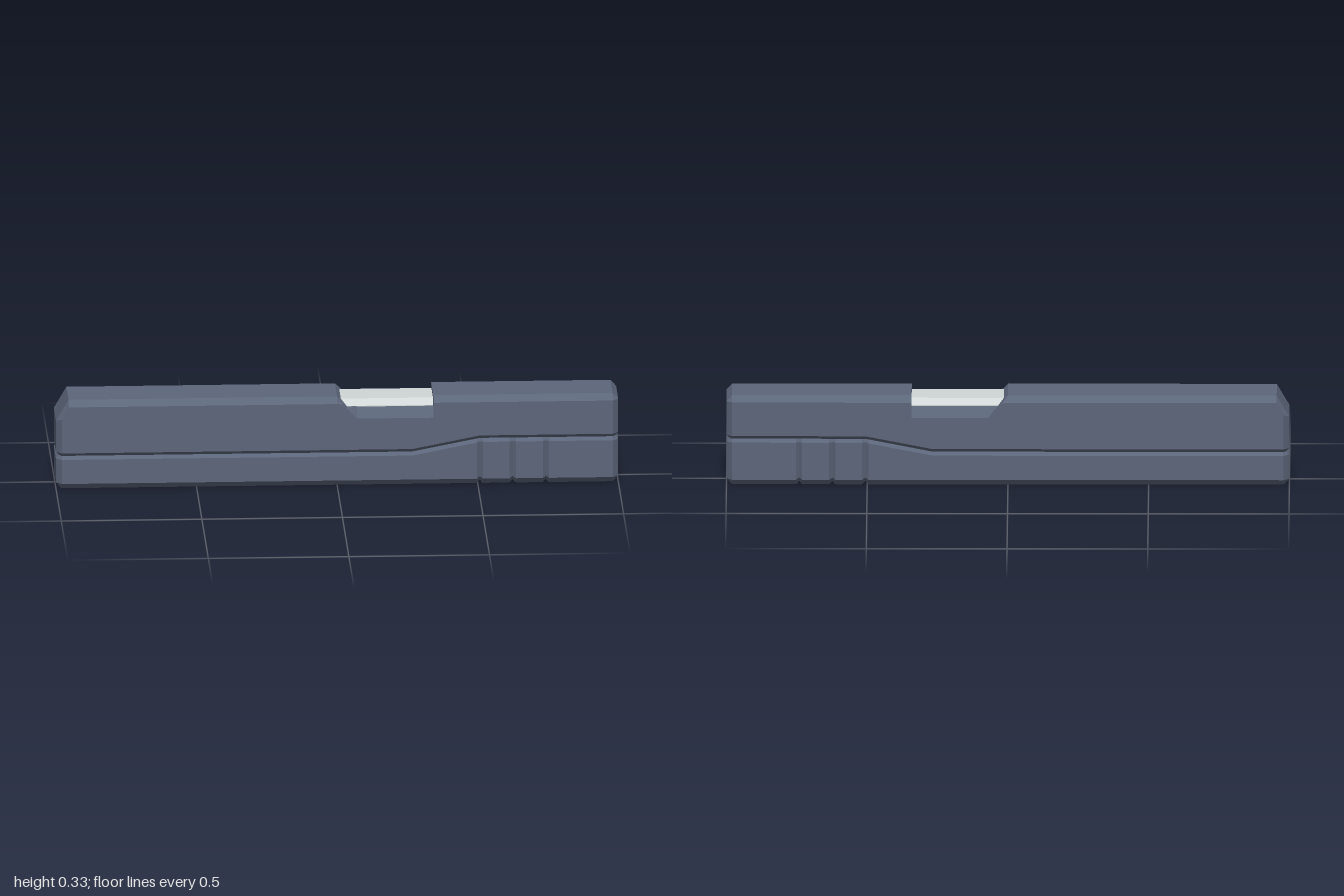
import * as THREE from 'three';

// Height of the V-groove that separates the two halves
const groove = (x) => 0.123 + 0.047 * THREE.MathUtils.clamp((x - 0.267) / 0.24, 0, 1);

// Symmetric eight-sided loft along x.
// Station: [x, bottomHalf, bottomY, sideHalf, sideLowY, sideHighY, topHalf, topY]
function loft(stations, material, name) {
  const rings = stations.map(([x, bw, yb, w, lo, hi, tw, yt]) => {
    const half = [[bw, yb], [w, lo], [w, hi], [tw, yt]];
    const other = half.map(([z, y]) => [-z, y]).reverse();
    return [...half, ...other].map(([z, y]) => [x, y, z]);
  });
  const pos = [];
  const tri = (...corners) => corners.forEach((c) => pos.push(...c));
  for (let i = 0; i < rings.length - 1; i++) {
    for (let k = 0; k < 8; k++) {
      const n = (k + 1) % 8;
      const a = rings[i][k], b = rings[i][n], c = rings[i + 1][n], d = rings[i + 1][k];
      tri(a, d, c);
      tri(a, c, b);
    }
  }
  const first = rings[0], last = rings[rings.length - 1];
  for (let k = 1; k < 7; k++) {
    tri(first[0], first[k], first[k + 1]);
    tri(last[0], last[k + 1], last[k]);
  }
  const geometry = new THREE.BufferGeometry();
  geometry.setAttribute('position', new THREE.Float32BufferAttribute(pos, 3));
  geometry.computeVertexNormals();
  const mesh = new THREE.Mesh(geometry, material);
  mesh.name = name;
  return mesh;
}

export function createModel() {
  const slate = new THREE.MeshStandardMaterial({ color: 0x5c667a });
  slate.name = 'slate';
  const silver = new THREE.MeshStandardMaterial({ color: 0xd0d6d6 });
  silver.name = 'silver';

  const W = 0.106, T = 0.083, V = 0.095, B = 0.012;
  const model = new THREE.Group();
  model.name = 'slideBody';

  // Upper half: sloped left end, window cut into the top, bevelled right end
  const upper = (x, hi, tw, yt, w = W, bw = V, rise = 0) =>
    [x, bw, groove(x) + rise, w, groove(x) + B, hi, tw, yt];
  model.add(loft([
    upper(-1, 0.25, T, 0.25, T, T, B),
    upper(-0.988, 0.256, T, 0.27, 0.097, T),
    upper(-0.98, 0.26, T, 0.284),
    upper(-0.955, 0.305, T, 0.327),
    upper(0, 0.305, T, 0.327),
    upper(0.02, 0.303, T, 0.306),
    upper(0.035, 0.287, T, 0.29),
    upper(0.07, 0.25, T, 0.29),
    upper(0.267, 0.25, T, 0.29),
    upper(0.342, 0.25, T, 0.29),
    upper(0.342, 0.305, T, 0.327),
    upper(0.507, 0.305, T, 0.327),
    upper(0.98, 0.305, T, 0.327),
    upper(0.988, 0.305, T, 0.318, 0.097, T),
    upper(1, 0.305, T, 0.305, T, T, B),
  ], slate, 'upperHalf'));

  // Lower half: bevelled ends and three V-grooves around the sides and bottom
  const lower = (x, w = W, tw = V, yb = 0, lo = 0.022, drop = 0, bw = T) =>
    [x, bw, yb, w, lo, groove(x) - B, tw, groove(x) - drop];
  const gripGrooves = [0.507, 0.624, 0.742].flatMap((x) => [
    lower(x - 0.011),
    lower(x, V, 0.084, 0.011, 0.028, 0, 0.077),
    lower(x + 0.011),
  ]);
  model.add(loft([
    lower(-1, T, T, 0.022, 0.022, B),
    lower(-0.988, 0.097, T, 0.009),
    lower(-0.98),
    lower(0.267),
    ...gripGrooves,
    lower(0.98),
    lower(0.988, 0.097, T, 0.009),
    lower(1, T, T, 0.022, 0.022, B),
  ], slate, 'lowerHalf'));

  // Bevelled insert showing through the window
  const insert = (x) => [x, T, 0.27, 0.084, 0.275, 0.291, 0.061, 0.312];
  model.add(loft([insert(-0.02), insert(0.36)], silver, 'windowInsert'));

  return model;
}
